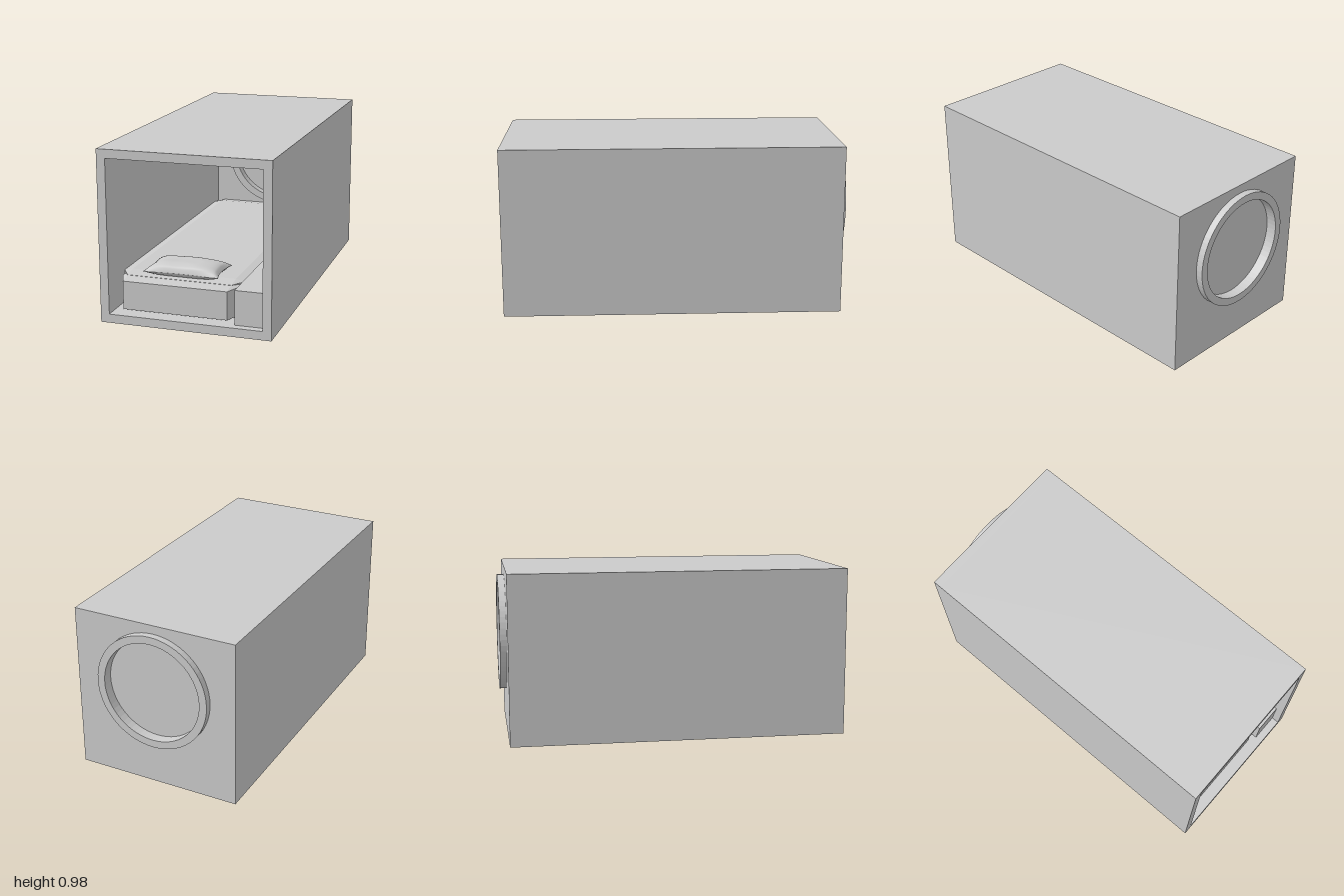
import * as THREE from 'three';
import { ConvexGeometry } from 'three/addons/geometries/ConvexGeometry.js';

const material = new THREE.MeshStandardMaterial({ color: 0xcccccc });
const flatMaterial = new THREE.MeshStandardMaterial({ color: 0xcccccc, flatShading: true });

function part(group, name, geometry, mat = material) {
  const mesh = new THREE.Mesh(geometry, mat);
  mesh.name = name;
  group.add(mesh);
  return mesh;
}

function rectangle(x0, y0, x1, y1, Type = THREE.Shape) {
  const s = new Type();
  s.moveTo(x0, y0);
  s.lineTo(x1, y0);
  s.lineTo(x1, y1);
  s.lineTo(x0, y1);
  s.closePath();
  return s;
}

function circle(cx, cy, r, Type = THREE.Shape) {
  const s = new Type();
  s.absarc(cx, cy, r, 0, Math.PI * 2, false);
  return s;
}

// Extrudes a shape from z0 to z1
function extrude(shape, z0, z1) {
  const g = new THREE.ExtrudeGeometry(shape, { depth: z1 - z0, bevelEnabled: false, curveSegments: 32 });
  return g.translate(0, 0, z0);
}

// Box between two corners with every edge chamfered by (cx, cy, cz)
function chamferedBox([x0, y0, z0], [x1, y1, z1], [cx, cy, cz]) {
  const hx = (x1 - x0) / 2, hy = (y1 - y0) / 2, hz = (z1 - z0) / 2;
  const points = [];
  for (const sx of [-1, 1]) for (const sy of [-1, 1]) for (const sz of [-1, 1]) {
    points.push(
      new THREE.Vector3(sx * hx, sy * (hy - cy), sz * (hz - cz)),
      new THREE.Vector3(sx * (hx - cx), sy * hy, sz * (hz - cz)),
      new THREE.Vector3(sx * (hx - cx), sy * (hy - cy), sz * hz));
  }
  return new ConvexGeometry(points).translate(x0 + hx, y0 + hy, z0 + hz);
}

// Soft cushion: puffed in the middle, pinched at the seam, pointed corners
function pillowGeometry(hx, hz, up, down) {
  const g = new THREE.BoxGeometry(2, 2, 2, 32, 1, 24);
  const p = g.attributes.position;
  for (let i = 0; i < p.count; i++) {
    const u = p.getX(i), v = p.getZ(i), side = Math.sign(p.getY(i));
    const puff = Math.pow((1 - u ** 4) * (1 - v ** 4), 0.6);
    const wrinkle = 1 + 0.06 * Math.sin(5 * u + 3 * v) * Math.cos(4 * v - 2 * u);
    const height = side > 0 ? up * Math.min(1, puff * wrinkle) : -down * puff;
    p.setXYZ(i,
      u * hx * (1 - 0.09 * (1 - v * v) * u * u),
      height + side * 0.001,
      v * hz * (1 - 0.12 * (1 - u * u) * v * v));
  }
  g.computeVertexNormals();
  return g;
}

export function createModel() {
  const model = new THREE.Group();
  model.name = 'sleepingCapsule';
  const windowY = 0.59;

  // Open-fronted shell and the back wall with its round opening
  const tube = rectangle(-0.49, 0, 0.49, 0.98);
  tube.holes.push(rectangle(-0.44, 0.05, 0.44, 0.93, THREE.Path));
  part(model, 'shell', extrude(tube, -0.91, 1));

  const wall = rectangle(-0.49, 0, 0.49, 0.98);
  wall.holes.push(circle(0, windowY, 0.325, THREE.Path));
  part(model, 'backWall', extrude(wall, -0.96, -0.91));

  // Round window: frame standing proud of the wall, pane at mid depth
  const frame = circle(0, windowY, 0.34);
  frame.holes.push(circle(0, windowY, 0.295, THREE.Path));
  part(model, 'windowFrame', extrude(frame, -1, -0.87), flatMaterial);
  part(model, 'windowPane', extrude(circle(0, windowY, 0.31), -0.94, -0.93));

  // Mattress, with a slightly larger blanket over it
  part(model, 'mattress',
    chamferedBox([-0.425, 0.05, -0.9], [0.26, 0.237, 0.93], [0.04, 0.012, 0.1]), flatMaterial);
  part(model, 'blanket',
    chamferedBox([-0.44, 0.05, -0.91], [0.27, 0.247, 0.85], [0.05, 0.011, 0.08]), flatMaterial);

  // Pillow near the open end
  part(model, 'pillow', pillowGeometry(0.22, 0.125, 0.047, 0.03)).position.set(-0.075, 0.267, 0.73);

  // Long side shelf beside the bed
  part(model, 'sideShelf', new THREE.BoxGeometry(0.17, 0.197, 1.865)).position.set(0.355, 0.1485, 0.0225);

  // Slim control panel on the left wall
  part(model, 'wallPanel',
    chamferedBox([0.43, 0.42, 0.4], [0.445, 0.565, 0.62], [0.006, 0.012, 0.012]), flatMaterial);

  return model;
}
